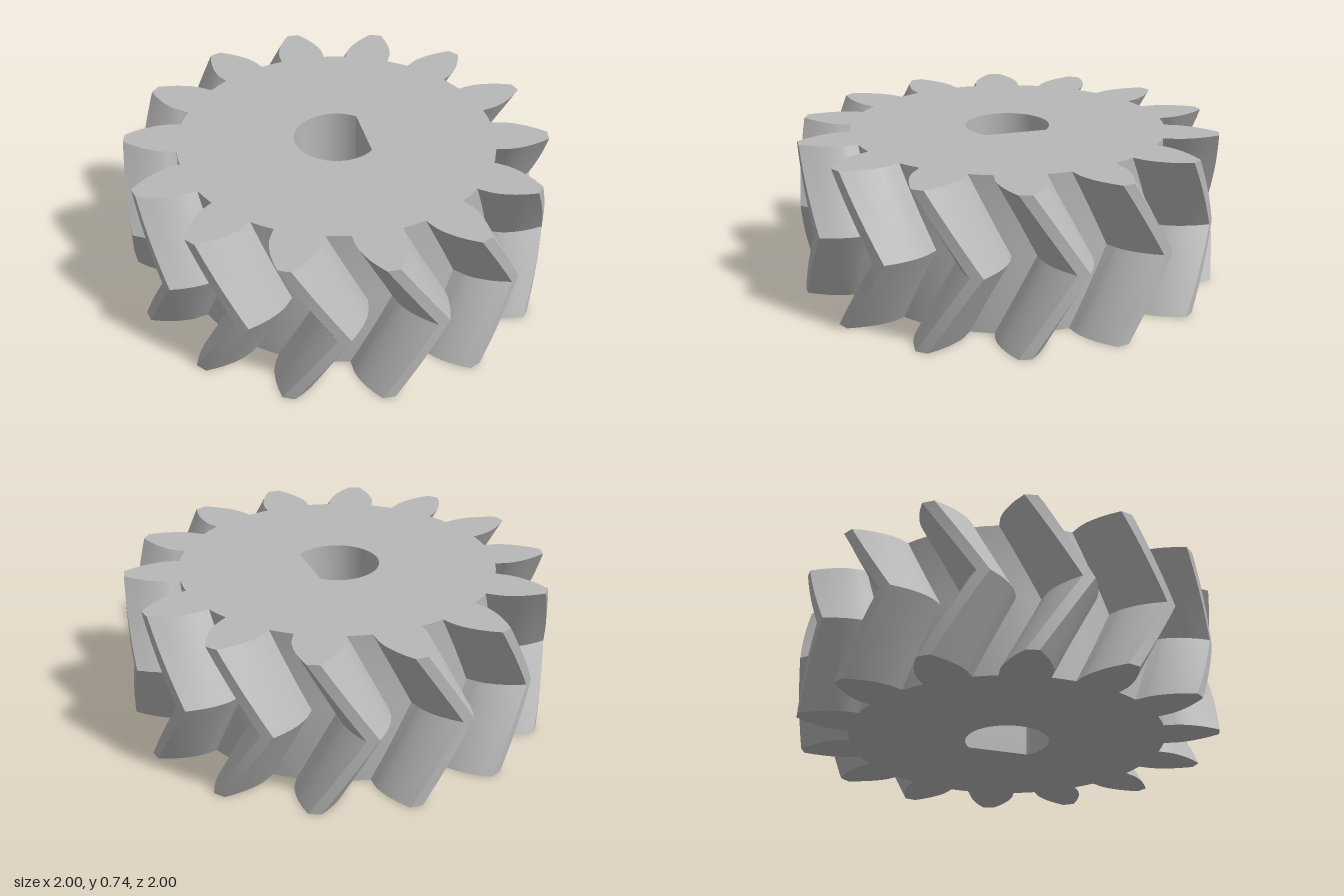
import * as THREE from 'three';
import { toCreasedNormals } from 'three/addons/utils/BufferGeometryUtils.js';

const TEETH = 14;
const ROOT = 0.75, PITCH = 0.875, TIP = 1;
const HEIGHT = 0.735;
const TWIST = THREE.MathUtils.degToRad(14.2);
const PRESSURE = THREE.MathUtils.degToRad(25);

const polar = (r, a) => new THREE.Vector2(r * Math.cos(a), r * Math.sin(a));

// One flank from root to tip as [radius, half angle] pairs, following an involute
function flankPoints(segments) {
  const base = PITCH * Math.cos(PRESSURE);
  const baseHalf = Math.PI / 2 / TEETH + Math.tan(PRESSURE) - PRESSURE;
  const maxRoll = Math.sqrt((TIP / base) ** 2 - 1);
  const points = [[ROOT, baseHalf + 0.008]];
  for (let i = 0; i <= segments; i++) {
    const roll = maxRoll * i / segments;
    points.push([base * Math.sqrt(1 + roll * roll), baseHalf - (roll - Math.atan(roll))]);
  }
  return points;
}

// Toothed outline with a D-shaped bore
function gearShape() {
  const flank = flankPoints(8);
  const outline = [];
  for (let t = 0; t < TEETH; t++) {
    const centre = Math.PI / 2 + t * Math.PI * 2 / TEETH;
    for (const [r, a] of flank) outline.push(polar(r, centre - a));
    outline.push(polar(TIP, centre));
    for (const [r, a] of [...flank].reverse()) outline.push(polar(r, centre + a));
    outline.push(polar(ROOT, centre + Math.PI / TEETH));
  }
  const shape = new THREE.Shape(outline);

  const bore = new THREE.Path();
  const flat = Math.acos(0.135 / 0.2);
  bore.absarc(0, 0, 0.2, flat, Math.PI * 2 - flat, false);
  bore.closePath();
  shape.holes.push(bore);
  return shape;
}

export function createModel() {
  const group = new THREE.Group();
  group.name = 'herringboneGear';
  const steel = new THREE.MeshStandardMaterial({ color: 0xb8b8b8 });
  steel.name = 'plain grey';

  let geometry = new THREE.ExtrudeGeometry(gearShape(), {
    depth: HEIGHT, steps: 16, bevelEnabled: false, curveSegments: 32,
  });
  geometry.rotateX(-Math.PI / 2);

  // Twist the teeth towards the middle height and back again
  const position = geometry.attributes.position;
  const up = new THREE.Vector3(0, 1, 0);
  const v = new THREE.Vector3();
  for (let i = 0; i < position.count; i++) {
    v.fromBufferAttribute(position, i);
    if (Math.hypot(v.x, v.z) < 0.4) continue; // the bore stays straight
    const amount = 1 - Math.abs(v.y / HEIGHT * 2 - 1);
    v.applyAxisAngle(up, TWIST * amount);
    position.setXYZ(i, v.x, v.y, v.z);
  }
  geometry = toCreasedNormals(geometry, THREE.MathUtils.degToRad(22));
  geometry.clearGroups();

  const gear = new THREE.Mesh(geometry, steel);
  gear.name = 'gearBody';
  group.add(gear);
  return group;
}
